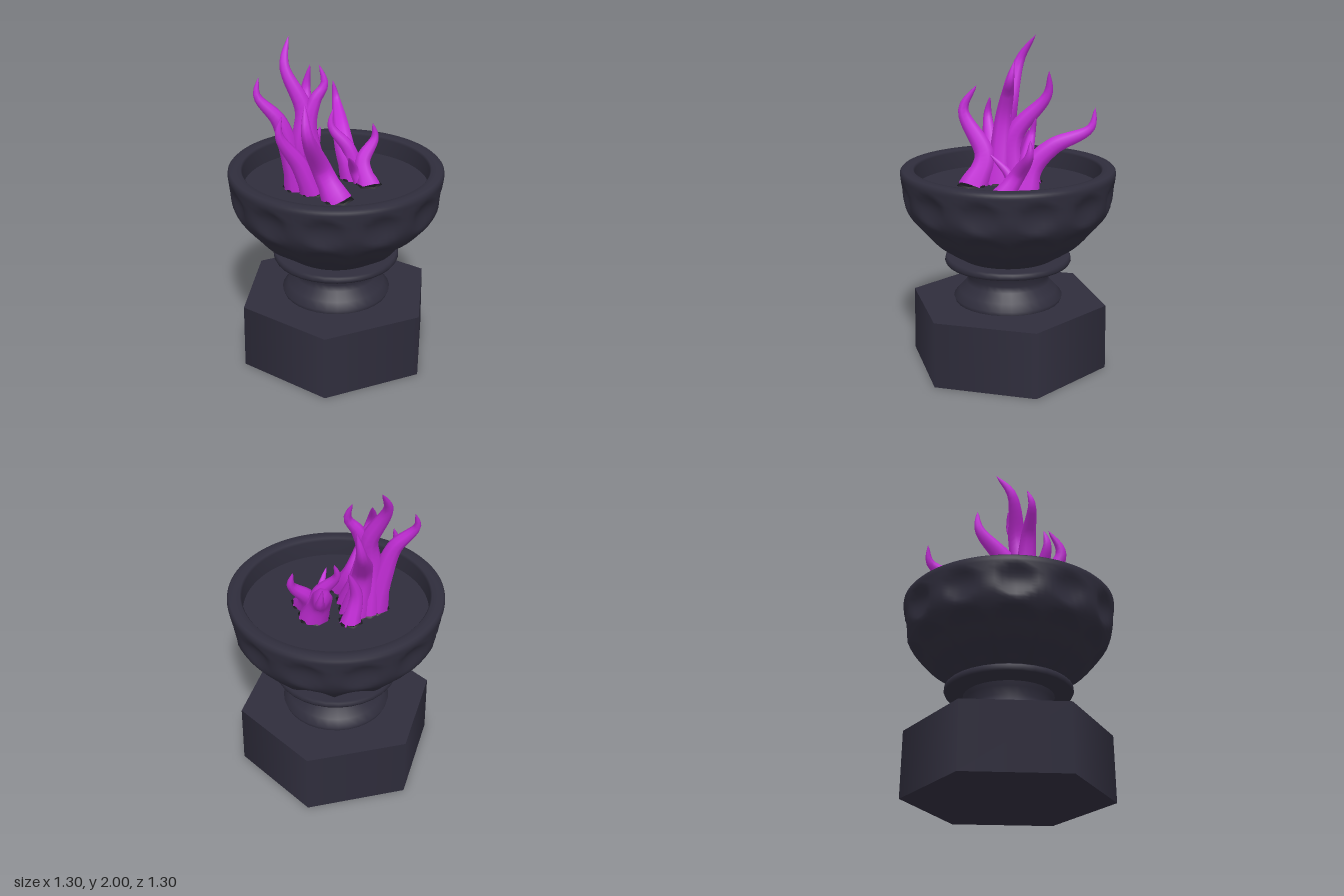
import * as THREE from 'three';
import { mergeVertices } from 'three/addons/utils/BufferGeometryUtils.js';

const FLOOR = 1.12;
const FLUTES = 12;

const stone = new THREE.MeshStandardMaterial({ color: 0x2f2d3c });
stone.name = 'dark stone';
const flame = new THREE.MeshStandardMaterial({ color: 0xc42dd8, side: THREE.DoubleSide });
flame.name = 'magenta flame';
const char = new THREE.MeshStandardMaterial({ color: 0x17171c });
char.name = 'char';

function add(parent, name, geometry, material) {
  const mesh = new THREE.Mesh(geometry, material);
  mesh.name = name;
  parent.add(mesh);
}

const lathe = (points, segments) =>
  new THREE.LatheGeometry(points.map(([r, y]) => new THREE.Vector2(r, y)), segments);

// Bowl wall: arched flutes below, a band of oval dimples above
function bowlGeometry() {
  const wall = new THREE.SplineCurve([
    [0.28, 0.68], [0.37, 0.735], [0.47, 0.81], [0.575, 0.93], [0.625, 1.02], [0.638, 1.12], [0.648, 1.21],
  ].map(([r, y]) => new THREE.Vector2(r, y))).getPoints(28);
  const rim = [[0.646, 1.228], [0.635, 1.24], [0.6, 1.242], [0.57, 1.238], [0.56, 1.225], [0.558, FLOOR - 0.02]];
  const geo = lathe([...wall.map((p) => [p.x, p.y]), ...rim], 96);
  const pos = geo.attributes.position;
  const step = THREE.MathUtils.smoothstep;
  for (let i = 0; i < pos.count; i++) {
    const x = pos.getX(i), y = pos.getY(i), z = pos.getZ(i);
    const r = Math.hypot(x, z);
    if (r < 0.29 || y > 1.2 || (r < 0.56 && y > 1)) continue;
    const turn = (Math.atan2(x, z) / (2 * Math.PI)) * FLUTES;
    const u = 2 * (turn - Math.round(turn));
    const arch = 0.96 - 0.07 * u * u;
    const flute = 0.035 * (1 - u * u) * step(y, 0.69, 0.78) * (1 - step(y, arch - 0.045, arch));
    const d = (u / 0.72) ** 2 + ((y - 1.085) / 0.1) ** 2;
    const dimple = d < 1 ? 0.032 * (1 - d) : 0;
    const k = (r - flute - dimple) / r;
    pos.setXYZ(i, x * k, y, z * k);
  }
  geo.deleteAttribute('uv');
  geo.deleteAttribute('normal');
  const welded = mergeVertices(geo, 1e-4);
  welded.computeVertexNormals();
  return welded;
}

// A curling tongue: a tube narrowed ring by ring to a point
function tongueGeometry(points, radius) {
  const curve = new THREE.CatmullRomCurve3(points.map((p) => new THREE.Vector3(...p)));
  const rings = 24, sides = 8;
  const geo = new THREE.TubeGeometry(curve, rings, radius, sides);
  const pos = geo.attributes.position;
  const v = new THREE.Vector3();
  for (let i = 0; i <= rings; i++) {
    const t = i / rings;
    const c = curve.getPointAt(t);
    const k = Math.pow(1 - t, 0.75) * (0.95 + 0.35 * t) + 0.25 * Math.max(0, 1 - t * 6);
    for (let j = 0; j <= sides; j++) {
      const n = i * (sides + 1) + j;
      v.fromBufferAttribute(pos, n).sub(c).multiplyScalar(k).add(c);
      pos.setXYZ(n, v.x, v.y, v.z);
    }
  }
  return geo;
}

// One tongue rising from a charred patch at (x, z), through the given points to its tip
function addTongue(parent, radius, x, z, ...path) {
  add(parent, 'flameTongue', tongueGeometry([[x, FLOOR - 0.02, z], ...path], radius), flame);
  const patch = new THREE.CylinderGeometry(radius * 1.15, radius * 1.25, 0.009, 6);
  patch.translate(x, FLOOR + 0.0045, z);
  add(parent, 'charPatch', patch, char);
}

// Tall cluster on the right-hand side of the bowl
function tallFire() {
  const fire = new THREE.Group();
  fire.name = 'tallFire';
  const tongue = (...args) => addTongue(fire, ...args);
  tongue(0.085, -0.17, -0.06, [-0.2, 1.4, -0.04], [-0.18, 1.6, -0.06], [-0.26, 1.85, -0.15], [-0.2, 2, -0.23]);
  tongue(0.085, -0.11, 0.03, [-0.17, 1.5, -0.02], [-0.12, 1.66, -0.03], [-0.06, 1.75, -0.03], [-0.08, 1.86, -0.06]);
  tongue(0.08, -0.22, -0.05, [-0.27, 1.35, -0.06], [-0.33, 1.55, -0.08], [-0.44, 1.7, -0.13], [-0.42, 1.8, -0.15]);
  tongue(0.085, -0.1, -0.07, [-0.14, 1.4, -0.08], [-0.08, 1.65, -0.27], [-0.05, 1.8, -0.27]);
  tongue(0.08, -0.08, 0.2, [-0.14, 1.28, 0.11], [-0.27, 1.55, 0.21], [-0.25, 1.7, 0.13]);
  tongue(0.06, -0.05, -0.16, [-0.09, 1.28, -0.13], [-0.04, 1.45, -0.14]);
  tongue(0.07, -0.17, 0.05, [-0.25, 1.3, 0.04], [-0.37, 1.5, 0.03], [-0.35, 1.61, 0.02]);
  return fire;
}

// Short cluster on the left-hand side, with one long tongue leaning back
function shortFire() {
  const fire = new THREE.Group();
  fire.name = 'shortFire';
  const tongue = (...args) => addTongue(fire, ...args);
  tongue(0.08, 0.15, -0.06, [0.12, 1.26, -0.12], [0.14, 1.38, -0.24], [0.2, 1.49, -0.45], [0.19, 1.61, -0.48]);
  tongue(0.06, 0.16, -0.04, [0.12, 1.3, -0.08], [0.03, 1.44, -0.14], [0.05, 1.54, -0.16]);
  tongue(0.065, 0.18, 0.08, [0.18, 1.23, -0.01], [0.28, 1.36, -0.05], [0.27, 1.45, -0.06]);
  tongue(0.04, 0.15, 0.04, [0.11, 1.2, 0.02], [0.03, 1.33, 0.12]);
  return fire;
}

export function createModel() {
  const model = new THREE.Group();
  model.name = 'brazier';

  // Hexagonal plinth with points to the sides
  const plinth = new THREE.CylinderGeometry(0.615, 0.62, 0.405, 6);
  plinth.rotateY(Math.PI / 6).translate(0, 0.2025, 0);
  add(model, 'plinth', plinth, stone);

  // Flared stem and the plate beneath the bowl
  add(model, 'stem', lathe([
    [0.325, 0.4], [0.335, 0.43], [0.3, 0.47], [0.255, 0.52], [0.245, 0.555], [0.265, 0.6], [0.28, 0.65],
  ], 32), stone);
  add(model, 'plate', lathe([
    [0.25, 0.625], [0.33, 0.635], [0.38, 0.645], [0.388, 0.66], [0.385, 0.68], [0.375, 0.688], [0, 0.688],
  ], 32), stone);

  // Bowl and its inner floor
  add(model, 'bowl', bowlGeometry(), stone);
  const floor = new THREE.CircleGeometry(0.565, 48);
  floor.rotateX(-Math.PI / 2).translate(0, FLOOR, 0);
  add(model, 'bowlFloor', floor, stone);

  model.add(tallFire(), shortFire());
  return model;
}
